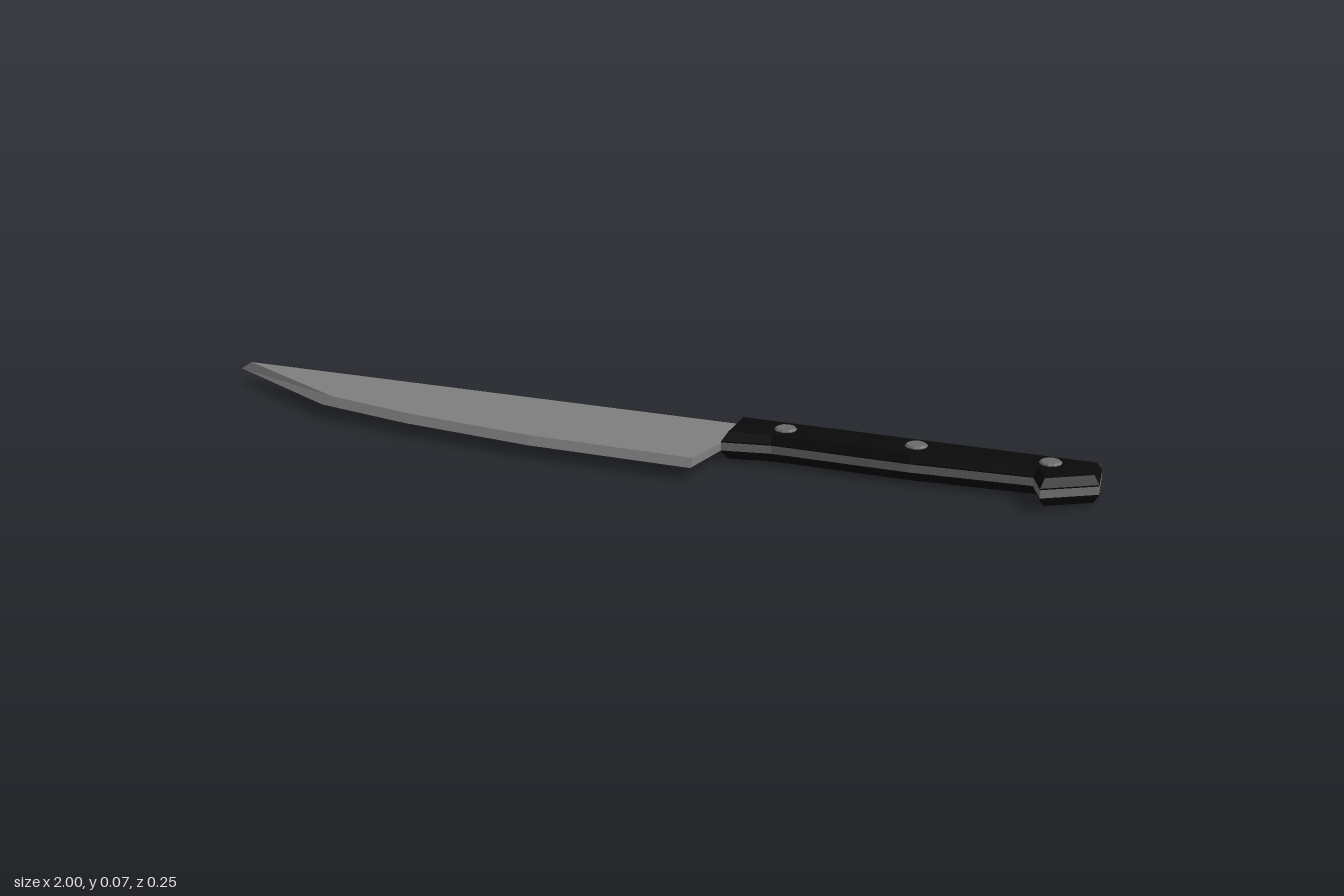
import * as THREE from 'three';

const steel = new THREE.MeshStandardMaterial({ name: 'steel grey', color: 0x808080, flatShading: true });
const black = new THREE.MeshStandardMaterial({ name: 'handle black', color: 0x0a0a0a, flatShading: true });
const rivetGrey = new THREE.MeshStandardMaterial({ name: 'rivet grey', color: 0x6c6c6c, flatShading: true });

// Closed solid between two matching plan outlines [x, z], counter-clockwise from above
function loft(lower, yLow, upper, yHigh) {
  const pos = [];
  const tri = (...corners) => corners.forEach(([p, y]) => pos.push(p[0], y, p[1]));
  const cap = (ring, y, up) => {
    const flat = ring.map(([x, z]) => new THREE.Vector2(x, -z));
    for (const [i, j, k] of THREE.ShapeUtils.triangulateShape(flat, [])) {
      const ccw = flat[j].clone().sub(flat[i]).cross(flat[k].clone().sub(flat[i])) > 0;
      const order = ccw === up ? [i, j, k] : [i, k, j];
      tri(...order.map((n) => [ring[n], y]));
    }
  };
  lower.forEach((a, i) => {
    const j = (i + 1) % lower.length;
    tri([a, yLow], [lower[j], yLow], [upper[j], yHigh]);
    tri([a, yLow], [upper[j], yHigh], [upper[i], yHigh]);
  });
  cap(lower, yLow, false);
  cap(upper, yHigh, true);
  const g = new THREE.BufferGeometry();
  g.setAttribute('position', new THREE.Float32BufferAttribute(pos, 3));
  g.computeVertexNormals();
  return g;
}

// Move every edge of an outline inward by w
function inset(ring, w) {
  const n = ring.length;
  const normal = (a, b) => new THREE.Vector2(b[1] - a[1], a[0] - b[0]).normalize();
  return ring.map((p, i) => {
    const n1 = normal(ring[(i + n - 1) % n], p);
    const n2 = normal(p, ring[(i + 1) % n]);
    const k = w / (1 + n1.dot(n2));
    return [p[0] + (n1.x + n2.x) * k, p[1] + (n1.y + n2.y) * k];
  });
}

export function createModel() {
  const knife = new THREE.Group();
  knife.name = 'kitchenKnife';
  const add = (name, geometry, material) => {
    const mesh = new THREE.Mesh(geometry, material);
    mesh.name = name;
    knife.add(mesh);
    return mesh;
  };
  const low = 0.027, high = 0.045;

  // Handle plan: front of grip, belly, pommel hook, butt, spine
  const handle = [
    [0.195, 0], [0.3, -0.018], [0.6, -0.013], [0.86, -0.027], [0.89, 0.038],
    [0.997, -0.026], [0.982, -0.116], [0.195, -0.123],
  ];

  // Blade with a one-sided ground edge, running on into the tang
  const edgeLow = [[-1, -0.125], [-0.72, 0.034], [-0.5, 0.08], [-0.2, 0.115], [0.17, 0.123]];
  const edgeHigh = [[-0.975, -0.125], [-0.7, 0.024], [-0.495, 0.067], [-0.2, 0.102], [0.172, 0.11]];
  add('bladeAndTang', loft([...edgeLow, ...handle], low, [...edgeHigh, ...handle], high), steel);

  // Chamfered handle scales above and below the tang
  const face = inset(handle, 0.011);
  const shoulder = 0.048;
  add('upperScaleBase', loft(handle, high, handle, shoulder), black);
  add('upperScale', loft(handle, shoulder, face, 0.066), black);
  add('lowerScaleBase', loft(handle, 0.024, handle, low), black);
  add('lowerScale', loft(face, 0.006, handle, 0.024), black);

  // Rivets through the handle
  const profile = [[0, 0], [0.02, 0], [0.024, 0.003], [0.024, 0.068], [0.02, 0.071], [0, 0.071]]
    .map(([r, y]) => new THREE.Vector2(r, y));
  const rivet = new THREE.LatheGeometry(profile, 10);
  [0.315, 0.6, 0.885].forEach((x, i) => {
    add(`rivet${i + 1}`, rivet, rivetGrey).position.set(x, 0, -0.069);
  });
  return knife;
}
